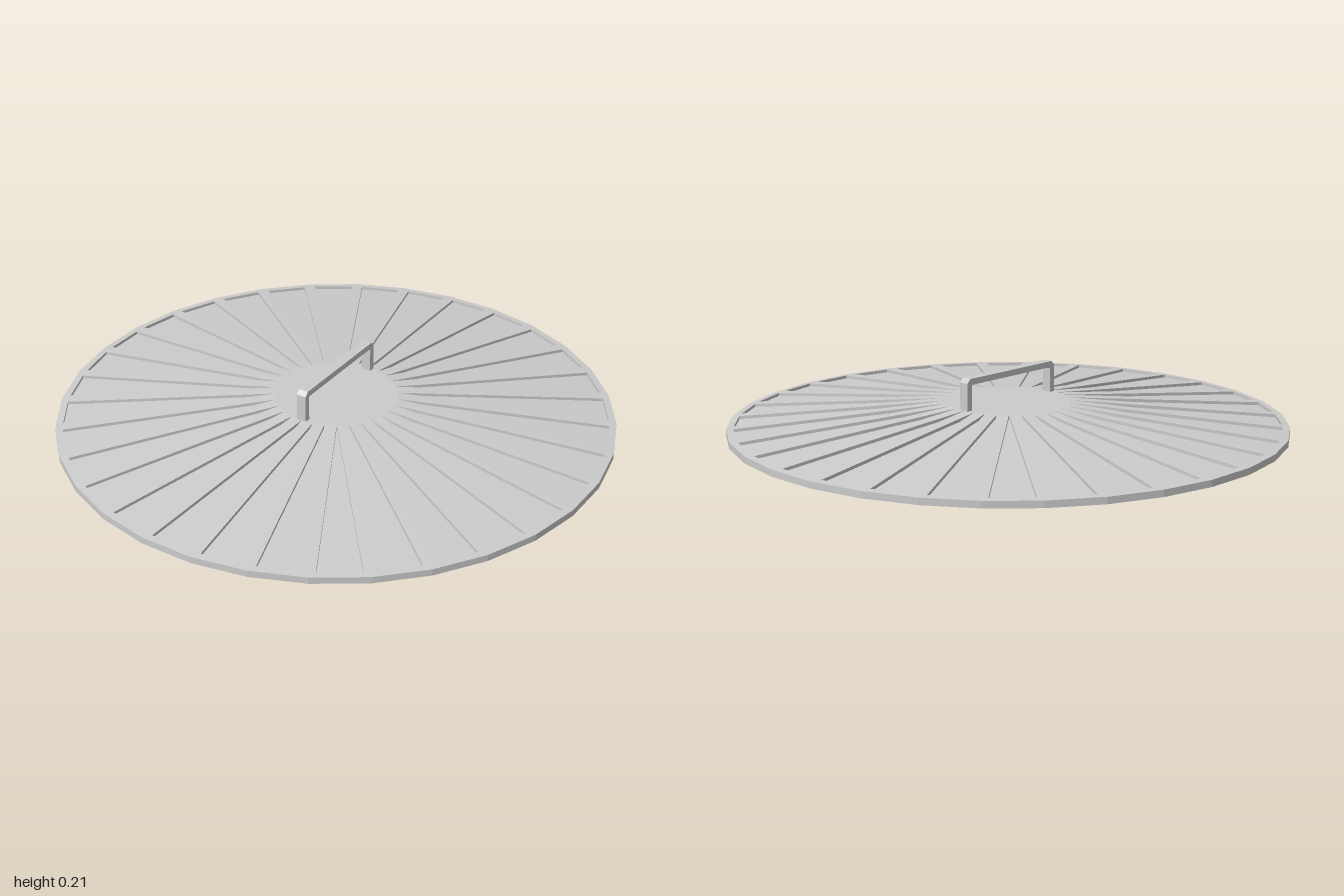
import * as THREE from 'three';

const SIDES = 32;
const STEP = (Math.PI * 2) / SIDES;
const TAN = Math.tan(STEP / 2), COS = Math.cos(STEP / 2);
const RIM_Y = 0.024, TOP_Y = 0.1, TOP_R = 0.22; // rim height, plateau height and radius
const RIB = 0.021, DEPTH = 0.011;               // half rib width, recess depth

const material = new THREE.MeshStandardMaterial({ color: 0xcccccc, flatShading: true });

// Height of the shallow cone at distance u from the centre, along a sector's middle line
const U_IN = TOP_R * COS, U_OUT = COS;
const heightAt = (u) => TOP_Y + ((RIM_Y - TOP_Y) * (u - U_IN)) / (U_OUT - U_IN);

// Four sector corners, anticlockwise from above; inset narrows the sector on both sides
function corners(angle, u0, u1, inset, yAt) {
  const point = (u, side) => {
    const v = side * (u * TAN - inset / COS);
    return [u * Math.cos(angle) - v * Math.sin(angle), yAt(u), u * Math.sin(angle) + v * Math.cos(angle)];
  };
  return [point(u0, -1), point(u0, 1), point(u1, 1), point(u1, -1)];
}

function meshFrom(name, positions) {
  const geometry = new THREE.BufferGeometry();
  geometry.setAttribute('position', new THREE.Float32BufferAttribute(positions, 3));
  geometry.computeVertexNormals();
  const mesh = new THREE.Mesh(geometry, material);
  mesh.name = name;
  return mesh;
}

// Radial ribs, sunken wedge panels, rim, plateau and underside, sector by sector
function createCover() {
  const ribs = [], panels = [], rim = [], plateau = [], underside = [];
  const tri = (out, a, b, c) => out.push(...a, ...b, ...c);
  const quad = (out, a, b, c, d) => { tri(out, a, b, c); tri(out, a, c, d); };

  for (let k = 0; k < SIDES; k++) {
    const angle = (k + 0.5) * STEP;
    const outer = corners(angle, U_IN, U_OUT, 0, heightAt);
    const edge = corners(angle, 0.225, 0.97, RIB, heightAt);
    const floor = corners(angle, 0.225, 0.97, RIB, (u) => heightAt(u) - DEPTH);
    const base = corners(angle, U_IN, U_OUT, 0, () => 0);

    for (let i = 0; i < 4; i++) {
      const j = (i + 1) % 4;
      quad(ribs, outer[i], outer[j], edge[j], edge[i]);
      quad(ribs, edge[i], edge[j], floor[j], floor[i]);
    }
    quad(panels, ...floor);
    quad(rim, outer[3], outer[2], base[2], base[3]);
    tri(plateau, [0, TOP_Y, 0], outer[1], outer[0]);
    tri(underside, [0, 0, 0], base[3], base[2]);
  }

  const cover = new THREE.Group();
  cover.name = 'cover';
  cover.add(
    meshFrom('ribs', ribs), meshFrom('panels', panels), meshFrom('rim', rim),
    meshFrom('plateau', plateau), meshFrom('underside', underside)
  );
  return cover;
}

// Bracket handle with chamfered top corners, set diagonally across the plateau
function createHandle() {
  const half = 0.222, top = 0.214, foot = 0.09, bar = 0.022, width = 0.036, cut = 0.015, innerCut = 0.004;
  const inner = half - bar, under = top - bar;
  const outline = [
    [-half, foot], [-inner, foot], [-inner, under - innerCut], [-inner + innerCut, under],
    [inner - innerCut, under], [inner, under - innerCut], [inner, foot], [half, foot],
    [half, top - cut], [half - cut, top], [-half + cut, top], [-half, top - cut],
  ];
  const shape = new THREE.Shape(outline.map(([x, y]) => new THREE.Vector2(x, y)));
  const geometry = new THREE.ExtrudeGeometry(shape, { depth: width, bevelEnabled: false });
  geometry.translate(0, 0, -width / 2);
  const handle = new THREE.Mesh(geometry, material);
  handle.name = 'handle';
  handle.rotation.y = THREE.MathUtils.degToRad(28.3);
  return handle;
}

export function createModel() {
  const model = new THREE.Group();
  model.name = 'ribbedLid';
  model.add(createCover(), createHandle());
  return model;
}
